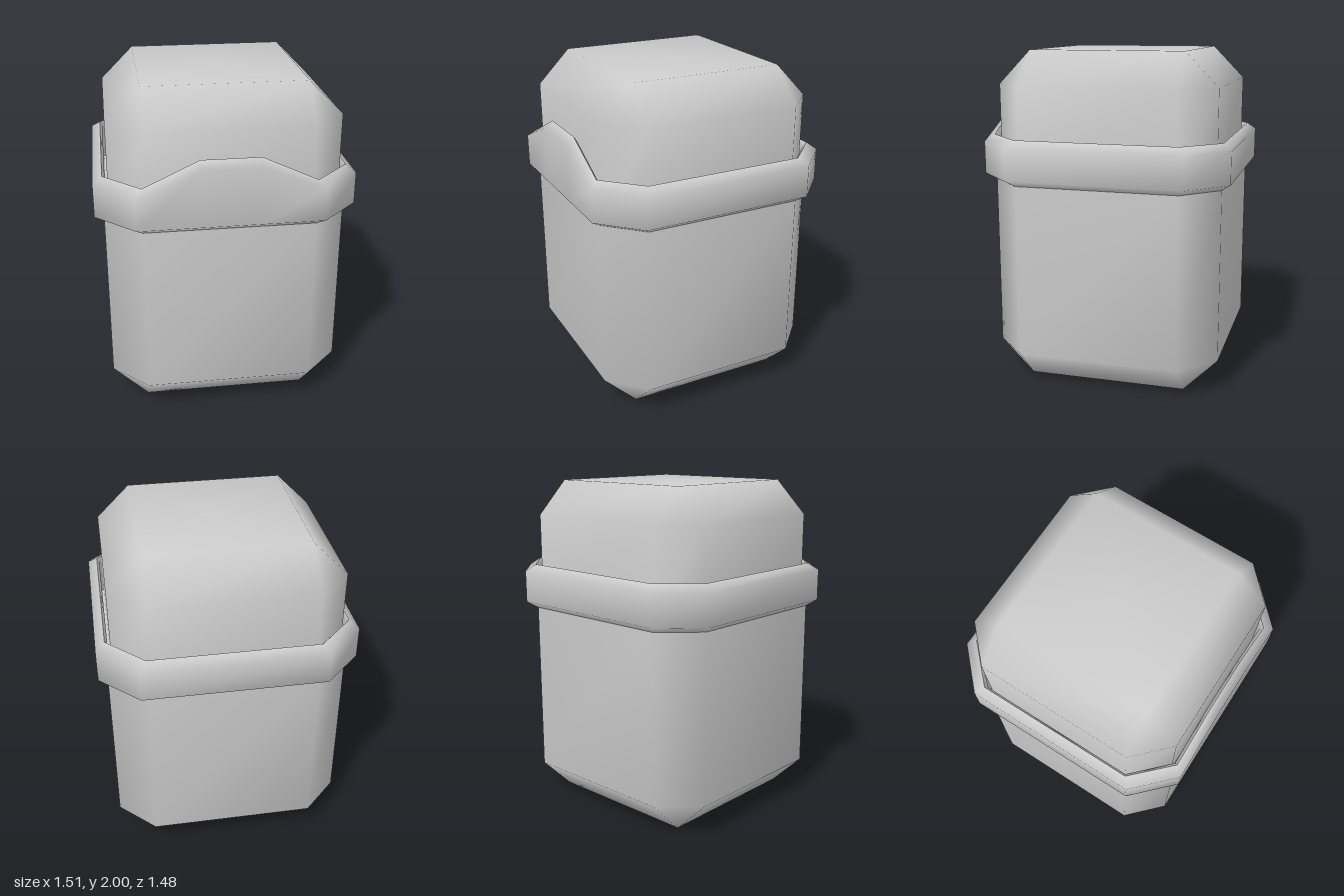
import * as THREE from 'three';
import { mergeVertices } from 'three/addons/utils/BufferGeometryUtils.js';

const material = new THREE.MeshStandardMaterial({ color: 0xcccccc, side: THREE.DoubleSide });

// Chamfered-square ring: half width a, half depth b, half flats cx and cz.
// lift adds two points on the front flat, raised by that amount.
function ring(y, a, b, cx, cz, lift) {
  const points = [
    [cx, y, b], [a, y, cz], [a, y, -cz], [cx, y, -b],
    [-cx, y, -b], [-a, y, -cz], [-a, y, cz], [-cx, y, b],
  ];
  if (lift !== undefined) points.push([-0.17, y + lift, b], [0.17, y + lift, b]);
  return points;
}

// Skins a stack of rings with smooth normals
function loft(name, rings) {
  const n = rings[0].length;
  const index = [];
  for (let i = 0; i < rings.length - 1; i++) {
    for (let j = 0; j < n; j++) {
      const k = (j + 1) % n;
      const a = i * n + j, b = i * n + k, c = b + n, d = a + n;
      index.push(a, b, c, a, c, d);
    }
  }
  let geometry = new THREE.BufferGeometry();
  geometry.setAttribute('position', new THREE.Float32BufferAttribute(rings.flat(2), 3));
  geometry.setIndex(index);
  geometry = mergeVertices(geometry, 1e-4);
  geometry.computeVertexNormals();
  const mesh = new THREE.Mesh(geometry, material);
  mesh.name = name;
  return mesh;
}

export function createModel() {
  const model = new THREE.Group();
  model.name = 'liddedContainer';

  // Body: square base bevelled out to an eight-sided wall
  model.add(loft('body', [
    ring(0, 0, 0, 0, 0),
    ring(0, 0.49, 0.48, 0.49, 0.48),
    ring(0.205, 0.7, 0.685, 0.49, 0.48),
    ring(1.26, 0.7, 0.685, 0.49, 0.48),
  ]));
  model.add(loft('bodyLedge', [
    ring(1.26, 0.7, 0.685, 0.49, 0.48),
    ring(1.26, 0, 0, 0, 0),
  ]));

  // Lid: the same bevelled form turned upward, seated inside the collar
  model.add(loft('lid', [
    ring(1.24, 0.67, 0.655, 0.475, 0.465),
    ring(1.8, 0.67, 0.655, 0.475, 0.465),
    ring(2, 0.47, 0.46, 0.47, 0.46),
    ring(2, 0, 0, 0, 0),
  ]));

  // Collar with a raised tab on the front
  const collar = new THREE.Group();
  collar.name = 'collar';
  const lift = 0.15;
  const rim = ring(1.5, 0.7, 0.69, 0.49, 0.48, lift);
  collar.add(loft('collarOuter', [
    ring(1.225, 0.69, 0.675, 0.485, 0.475, 0),
    ring(1.27, 0.755, 0.74, 0.53, 0.52, 0),
    ring(1.46, 0.755, 0.74, 0.53, 0.52, lift),
    rim,
  ]));
  collar.add(loft('collarInner', [
    rim,
    ring(1.475, 0.685, 0.672, 0.482, 0.472, lift),
    ring(1.25, 0.685, 0.672, 0.482, 0.472, 0),
  ]));
  model.add(collar);

  return model;
}
